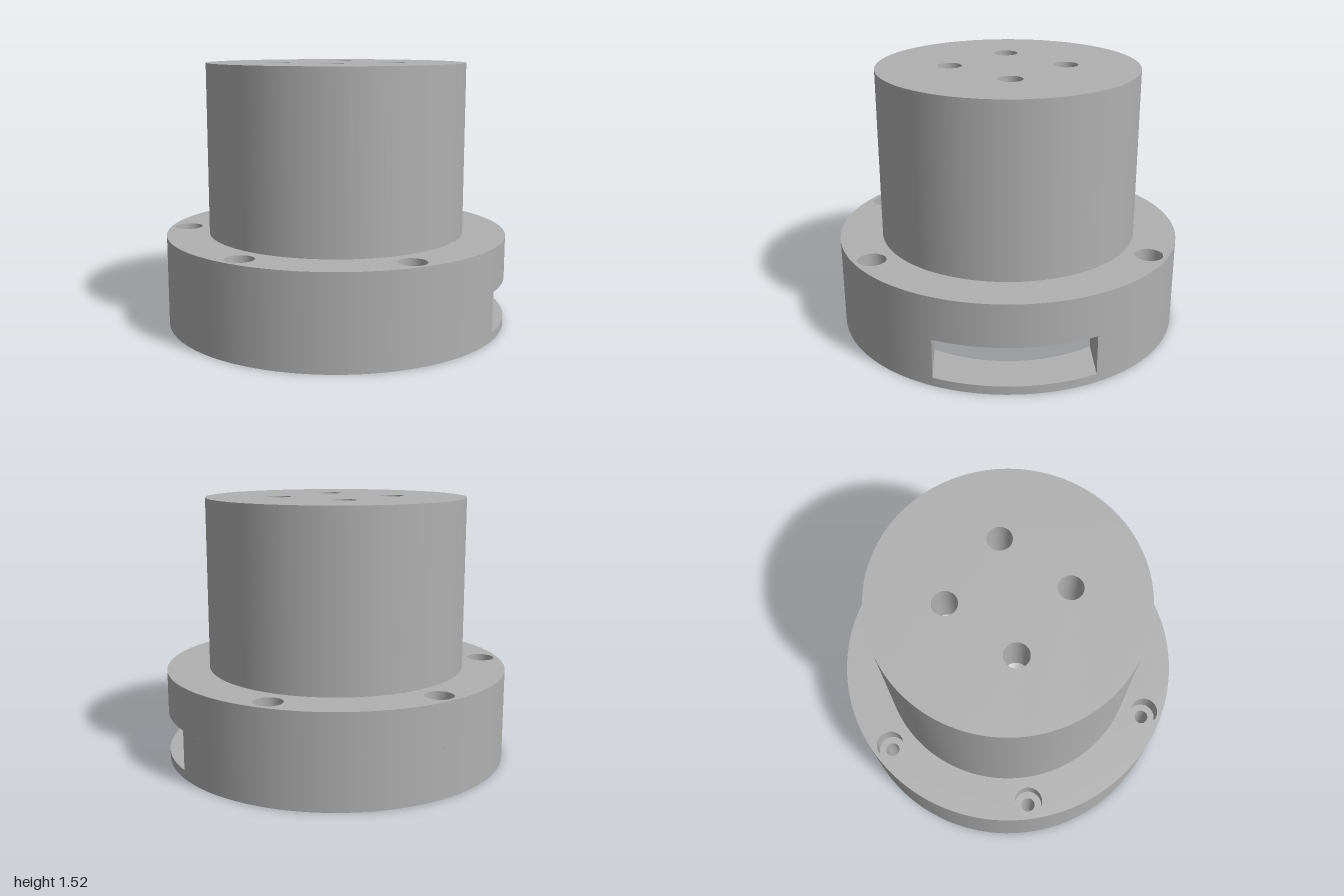
import * as THREE from 'three';
import { mergeGeometries } from 'three/addons/utils/BufferGeometryUtils.js';

const R = 1, BODY = 0.752, BORE = 0.754;           // radii
const FLANGE = 0.53, TOP = 1.52;                   // heights
const SLOT_LOW = 0.05, SLOT_HIGH = 0.28, SLOT_Z = 0.436;
const SEG = 128;

export function createModel() {
  const metal = new THREE.MeshStandardMaterial({ color: 0xb0b0b0 });
  const group = new THREE.Group();

  const add = (name, ...geometries) => {
    const mesh = new THREE.Mesh(mergeGeometries(geometries), metal);
    mesh.name = name;
    group.add(mesh);
    return mesh;
  };

  // Revolved profile with sharp corners; rising profiles face out, falling ones face in
  const revolve = (points, seg = SEG, start = 0, length = Math.PI * 2) =>
    mergeGeometries(points.slice(1).map((p, i) =>
      new THREE.LatheGeometry([new THREE.Vector2(...points[i]), new THREE.Vector2(...p)], seg, start, length)));

  // Flat disc or shape at height y, facing up or down
  const cap = (shape, y, up) =>
    new THREE.ShapeGeometry(shape, SEG).rotateX(up ? -Math.PI / 2 : Math.PI / 2).translate(0, y, 0);

  const disc = (r, holes = []) => {
    const shape = new THREE.Shape().absarc(0, 0, r, 0, Math.PI * 2);
    for (const [x, z, hr] of holes) shape.holes.push(new THREE.Path().absarc(x, z, hr, 0, Math.PI * 2, true));
    return shape;
  };

  // Hole positions: five on the flange (none over the slot), four on the top
  const bolts = [1, 2, 3, 4, 5].map(i => [0.895 * Math.cos(i * Math.PI / 3), 0.895 * Math.sin(i * Math.PI / 3)]);
  const taps = [0, 1, 2, 3].map(i => [0.33 * Math.cos(i * Math.PI / 2), 0.33 * Math.sin(i * Math.PI / 2)]);
  const sized = (list, r) => list.map(([x, z]) => [x, z, r]);

  // Wall interrupted by the slot on the +x side
  const slottedWall = (r, points) => {
    const half = Math.asin(SLOT_Z / r);
    return revolve(points, SEG, Math.PI / 2 + half, Math.PI * 2 - 2 * half);
  };

  // Flange
  add('flangeWall',
    revolve([[R, 0], [R, SLOT_LOW]]),
    slottedWall(R, [[R, SLOT_LOW], [R, SLOT_HIGH]]),
    revolve([[R, SLOT_HIGH], [R, FLANGE]]));
  add('flangeTop', cap(disc(R, [[0, 0, BODY], ...sized(bolts, 0.08)]), FLANGE, true));
  add('flangeBottom', cap(disc(R, [[0, 0, BORE], ...sized(bolts, 0.04)]), 0, false));

  // Recess in the underside
  add('recess',
    revolve([[BORE, SLOT_LOW], [BORE, 0]]),
    slottedWall(BORE, [[BORE, SLOT_HIGH], [BORE, SLOT_LOW]]),
    cap(disc(BORE), SLOT_HIGH, false));

  // Side slot opening into the recess
  const outer = Math.asin(SLOT_Z / R), inner = Math.asin(SLOT_Z / BORE);
  const slotShape = new THREE.Shape()
    .absarc(0, 0, R, -outer, outer, false)
    .absarc(0, 0, BORE, inner, -inner, true);
  const x0 = BORE * Math.cos(inner), x1 = R * Math.cos(outer);
  const side = s => new THREE.PlaneGeometry(x1 - x0, SLOT_HIGH - SLOT_LOW)
    .rotateY(s > 0 ? Math.PI : 0)
    .translate((x0 + x1) / 2, (SLOT_LOW + SLOT_HIGH) / 2, s * SLOT_Z);
  add('slot', cap(slotShape, SLOT_LOW, true), cap(slotShape, SLOT_HIGH, false), side(1), side(-1));

  // Upper cylinder
  add('bodyWall', revolve([[BODY, FLANGE], [BODY, TOP]]));
  add('bodyTop', cap(disc(BODY, sized(taps, 0.07)), TOP, true));

  // Counterbored bolt holes
  for (const [x, z] of bolts) {
    add('boltHole', revolve([[0.08, FLANGE], [0.08, 0.4], [0.04, 0.4], [0.04, 0]], 48)).position.set(x, 0, z);
  }

  // Blind drilled holes with conical ends
  for (const [x, z] of taps) {
    add('drilledHole', revolve([[0.07, TOP], [0.07, 1.2], [0, 1.16]], 48)).position.set(x, 0, z);
  }

  return group;
}
